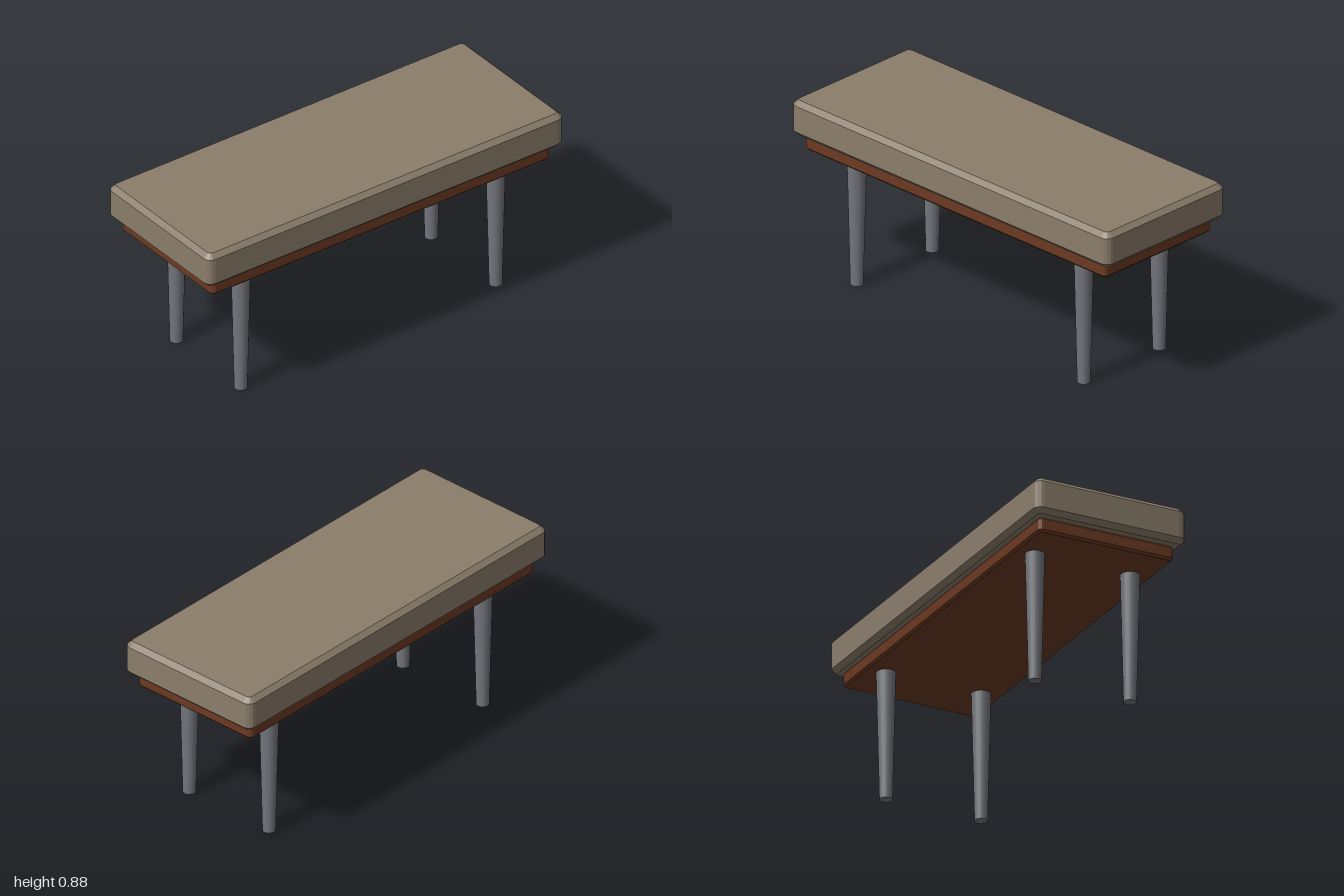
import * as THREE from 'three';

const fabric = new THREE.MeshStandardMaterial({ name: 'taupe fabric', color: 0x8b7d6b });
const wood = new THREE.MeshStandardMaterial({ name: 'brown wood', color: 0x6b3a22 });
const metal = new THREE.MeshStandardMaterial({ name: 'grey metal', color: 0x72757b });

// Slab with clipped corners and chamfered edges, lying flat between y0 and y1
function slab(name, halfX, halfZ, y0, y1, radius, bevel, material) {
  const shape = new THREE.Shape();
  const x = halfX - radius, z = halfZ - radius;
  shape.absarc(x, z, radius, 0, Math.PI / 2);
  shape.absarc(-x, z, radius, Math.PI / 2, Math.PI);
  shape.absarc(-x, -z, radius, Math.PI, Math.PI * 1.5);
  shape.absarc(x, -z, radius, Math.PI * 1.5, Math.PI * 2);
  const geometry = new THREE.ExtrudeGeometry(shape, {
    depth: y1 - y0 - 2 * bevel,
    curveSegments: 2,
    bevelEnabled: true,
    bevelSegments: 1,
    bevelSize: bevel,
    bevelThickness: bevel,
    bevelOffset: -bevel,
  });
  geometry.rotateX(-Math.PI / 2);
  geometry.translate(0, y0 + bevel, 0);
  const mesh = new THREE.Mesh(geometry, material);
  mesh.name = name;
  return mesh;
}

export function createModel() {
  const bench = new THREE.Group();
  bench.name = 'bench';

  // Padded seat on a slightly smaller wooden base
  bench.add(slab('cushion', 1, 0.383, 0.7, 0.875, 0.04, 0.023, fabric));
  bench.add(slab('base', 0.95, 0.343, 0.628, 0.7, 0.022, 0.011, wood));

  // Four tapered legs
  const legHeight = 0.628;
  const legGeometry = new THREE.CylinderGeometry(0.045, 0.03, legHeight, 20);
  for (const [end, sx] of [['Left', 1], ['Right', -1]]) {
    for (const [side, sz] of [['front', 1], ['back', -1]]) {
      const leg = new THREE.Mesh(legGeometry, metal);
      leg.name = `${side}${end}Leg`;
      leg.position.set(sx * 0.715, legHeight / 2, sz * 0.242);
      bench.add(leg);
    }
  }
  return bench;
}
